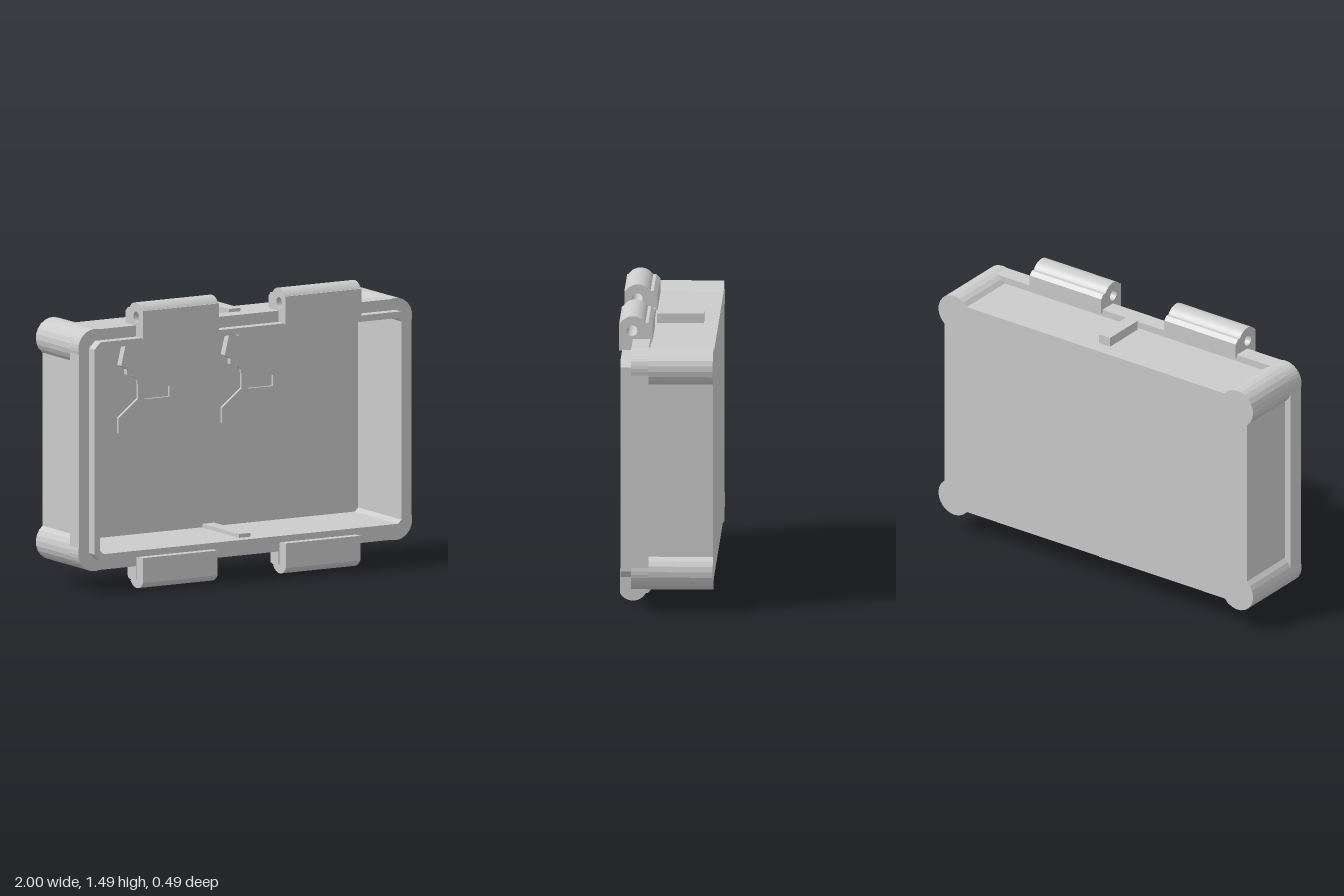
import * as THREE from 'three';

const MID = 0.74; // height of the box centre
const mat = new THREE.MeshStandardMaterial({ color: 0xcccccc });

function add(group, name, geo, x = 0, y = 0, z = 0) {
  const m = new THREE.Mesh(geo, mat);
  m.name = name;
  m.position.set(x, y, z);
  group.add(m);
  return m;
}

function extrude(shape, depth) {
  return new THREE.ExtrudeGeometry(shape, { depth, bevelEnabled: false, curveSegments: 12 });
}

// Box outline with round corner posts standing proud of walls set in by `inset`
function postOutline(inset) {
  const r = 0.1, cx = 0.9, cy = 0.53, over = Math.acos((r - inset) / r);
  const pts = [];
  [[1, 1], [-1, 1], [-1, -1], [1, -1]].forEach(([sx, sy], k) => {
    const a0 = k * Math.PI / 2 - over, span = Math.PI / 2 + 2 * over, n = 12;
    for (let i = 0; i <= n; i++) {
      const a = a0 + span * i / n;
      pts.push(new THREE.Vector2(sx * cx + r * Math.cos(a), sy * cy + r * Math.sin(a)));
    }
  });
  return new THREE.Shape(pts);
}

// Rectangle with chamfered corners
function chamfered(w, h, c) {
  return new THREE.Shape([[w, h - c], [w - c, h], [c - w, h], [-w, h - c],
    [-w, c - h], [c - w, -h], [w - c, -h], [w, c - h]].map(p => new THREE.Vector2(...p)));
}

function withCavity(shape) {
  shape.holes.push(chamfered(0.903, 0.535, 0.02));
  return shape;
}

// Shape mirrored about x = 0 from its right half, listed top to bottom
function symmetric(half) {
  const right = half.map(([x, y]) => new THREE.Vector2(x, y));
  const left = half.map(([x, y]) => new THREE.Vector2(-x, y)).reverse();
  return new THREE.Shape([...right, ...left]);
}

// Turns a (z, y) profile into a bar running along x, centred on x = 0
function alongX(shape, length) {
  const g = extrude(shape, length);
  g.translate(0, 0, -length / 2);
  g.rotateY(-Math.PI / 2);
  return g;
}

function upperHinge() {
  const s = new THREE.Shape();
  s.moveTo(0.245, 1.305);
  s.lineTo(0.245, 1.45);
  s.lineTo(0.228, 1.45);
  s.absarc(0.175, 1.41, 0.075, 0.56, Math.PI - 0.56, false);
  s.lineTo(0.095, 1.45);
  s.lineTo(0.075, 1.43);
  s.lineTo(0.075, 1.35);
  s.lineTo(0.175, 1.35);
  s.lineTo(0.175, 1.305);
  const pin = new THREE.Path();
  pin.absarc(0.18, 1.41, 0.028, 0, Math.PI * 2, true);
  s.holes.push(pin);
  return alongX(s, 0.455);
}

function lowerClip() {
  const s = new THREE.Shape();
  s.moveTo(0.24, 0.165);
  s.lineTo(0.175, 0.165);
  s.lineTo(0.175, 0.12);
  s.lineTo(0.085, 0.12);
  s.lineTo(0.085, 0.055);
  s.lineTo(0.1, 0.04);
  s.lineTo(0.12, 0.036);
  s.absarc(0.175, 0.075, 0.075, Math.PI + 0.6, Math.PI * 2 - 0.6, false);
  s.lineTo(0.24, 0.036);
  return alongX(s, 0.445);
}

// Thin latch lying on the inside of the back
function latch() {
  const g = new THREE.Group();
  g.name = 'latch';
  const plate = symmetric([[0.15, 1.05], [0.14, 1.03], [0.12, 1.01], [0.115, 0.985],
    [0.115, 0.91], [0.23, 0.82], [0.23, 0.74]]);
  plate.holes.push(new THREE.Path([[-0.075, 0.905], [0.075, 0.905], [0.075, 0.962], [-0.075, 0.962]]
    .map(p => new THREE.Vector2(...p))));
  const hole = new THREE.Path();
  hole.absarc(0, 0.782, 0.025, 0, Math.PI * 2, true);
  plate.holes.push(hole);
  add(g, 'latchPlate', extrude(plate, 0.015), 0, 0, -0.2);
  add(g, 'latchStrip', new THREE.BoxGeometry(0.38, 0.027, 0.03), 0, 1.057, -0.185);
  const head = symmetric([[0.185, 1.275], [0.23, 1.095], [0.185, 1.07]]);
  add(g, 'latchHead', extrude(head, 0.04), 0, 0, -0.2);
  return g;
}

export function createModel() {
  const model = new THREE.Group();
  model.name = 'caseHalf';

  // Tray: back, recessed walls, front flange and sealing lip
  add(model, 'backPanel', extrude(postOutline(0.04), 0.045), 0, MID, -0.245);
  add(model, 'walls', extrude(withCavity(postOutline(0.04)), 0.285), 0, MID, -0.2);
  add(model, 'flange', extrude(withCavity(postOutline(0.004)), 0.09), 0, MID, 0.085);
  add(model, 'lip', extrude(withCavity(chamfered(0.935, 0.568, 0.035)), 0.055), 0, MID, 0.175);

  // Hinges above, clips below, latches inside
  for (const s of [-1, 1]) {
    add(model, 'hinge', upperHinge(), s * 0.4275);
    add(model, 'clip', lowerClip(), s * 0.4275);
    add(model, 'clipShoulder', new THREE.BoxGeometry(0.455, 0.08, 0.08), s * 0.4275, 0.085, 0.135);
    const l = latch();
    l.position.x = s * 0.31;
    model.add(l);
  }

  // Middle ribs outside and inside, top and bottom
  for (const s of [-1, 1]) {
    add(model, 'outerRib', new THREE.BoxGeometry(0.07, 0.06, 0.24), 0, MID + s * 0.61, -0.05);
    add(model, 'innerRib', new THREE.BoxGeometry(0.07, 0.03, 0.36), 0, MID + s * 0.53, -0.01);
  }
  return model;
}
